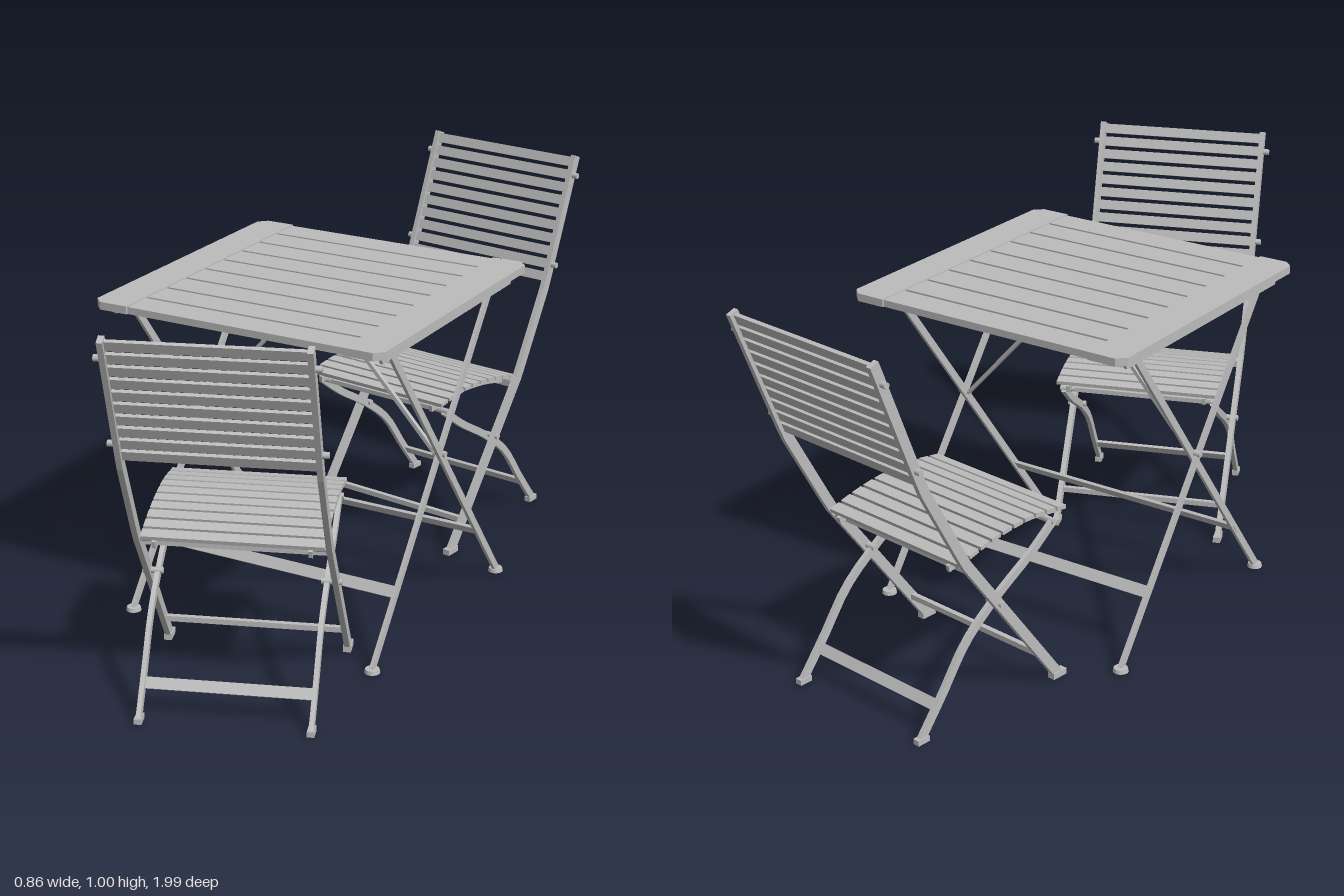
import * as THREE from 'three';

const paint = new THREE.MeshStandardMaterial({ color: 0xbcbcbc });
paint.name = 'grey paint';

function add(parent, geometry, name, x = 0, y = 0, z = 0, rotX = 0) {
  const mesh = new THREE.Mesh(geometry, paint);
  mesh.name = name;
  mesh.position.set(x, y, z);
  mesh.rotation.x = rotX;
  parent.add(mesh);
  return mesh;
}

const box = (parent, name, w, h, d, x, y, z, rotX = 0) =>
  add(parent, new THREE.BoxGeometry(w, h, d), name, x, y, z, rotX);

// Bolt lying along x
function bolt(parent, x, y, z, length = 0.03, radius = 0.008) {
  const g = new THREE.CylinderGeometry(radius, radius, length, 10);
  g.rotateZ(Math.PI / 2);
  add(parent, g, 'bolt', x, y, z);
}

// Flat bar following [z, y] points, with its thickness along x
function flatBar(parent, name, points, width, thick, x) {
  const p = points.map(([z, y]) => new THREE.Vector2(z, y));
  const left = [], right = [];
  p.forEach((q, i) => {
    const dir = p[Math.min(i + 1, p.length - 1)].clone().sub(p[Math.max(i - 1, 0)]).normalize();
    const n = new THREE.Vector2(-dir.y, dir.x).multiplyScalar(width / 2);
    left.push(q.clone().add(n));
    right.unshift(q.clone().sub(n));
  });
  const g = new THREE.ExtrudeGeometry(new THREE.Shape([...left, ...right]), { depth: thick, bevelEnabled: false });
  g.translate(0, 0, -thick / 2);
  g.rotateY(-Math.PI / 2);
  return add(parent, g, name, x);
}

const smooth = (points, n) =>
  new THREE.SplineCurve(points.map(([a, b]) => new THREE.Vector2(a, b))).getSpacedPoints(n).map(v => [v.x, v.y]);

// Chair: origin below the top of the backrest, facing +z
function chair(name, x, z, turn) {
  const g = new THREE.Group();
  g.name = name;
  g.position.set(x, 0, z);
  g.rotation.y = turn;
  const frontLeg = [[0, 0.995], [0.125, 0.68], [0.14, 0.645], [0.245, 0.455], [0.265, 0.42], [0.575, 0.006]];
  const rearLeg = smooth([[0.13, 0.006], [0.205, 0.1], [0.285, 0.205], [0.39, 0.285], [0.5, 0.35], [0.585, 0.412]], 14);
  const seatLine = [[0.25, 0.416], [0.37, 0.444], [0.5, 0.454], [0.62, 0.44]];

  for (const side of [-1, 1]) {
    flatBar(g, 'backrest rail and front leg', frontLeg, 0.026, 0.014, side * 0.228);
    flatBar(g, 'rear leg', rearLeg, 0.02, 0.012, side * 0.205);
    flatBar(g, 'seat rail', smooth(seatLine.map(([s, y]) => [s, y - 0.014]), 12), 0.018, 0.01, side * 0.185);
    // Foot caps
    box(g, 'front foot', 0.02, 0.016, 0.044, side * 0.228, 0.008, 0.574);
    box(g, 'rear foot', 0.018, 0.014, 0.036, side * 0.205, 0.007, 0.134);
    // Bolts on the backrest, the pivot and the seat
    bolt(g, side * 0.235, 0.945, 0.02);
    bolt(g, side * 0.235, 0.71, 0.113);
    bolt(g, side * 0.217, 0.28, 0.372, 0.05);
    bolt(g, side * 0.195, 0.412, 0.58, 0.04);
    bolt(g, side * 0.21, 0.41, 0.272, 0.05);
  }

  // Backrest slats
  const lean = Math.atan2(-0.125, 0.315);
  for (let i = 0; i < 10; i++) {
    const y = 0.979 - i * 0.0335;
    box(g, 'backrest slat', 0.444, 0.026, 0.01, 0, y, (0.995 - y) * 0.397 + 0.002, lean);
  }

  // Curved seat of cross slats
  const curve = new THREE.SplineCurve(seatLine.map(([s, y]) => new THREE.Vector2(s, y)));
  for (let i = 0; i < 10; i++) {
    const t = (i + 0.5) / 10;
    const p = curve.getPointAt(t), d = curve.getTangentAt(t);
    box(g, 'seat slat', 0.436, 0.01, 0.03, 0, p.y, p.x, -Math.atan2(d.y, d.x));
  }

  // Cross bars
  box(g, 'seat cross bar', 0.44, 0.016, 0.012, 0, 0.402, 0.275);
  box(g, 'front seat cross bar', 0.4, 0.012, 0.012, 0, 0.412, 0.58);
  box(g, 'front stretcher', 0.45, 0.014, 0.014, 0, 0.08, 0.52);
  box(g, 'rear stretcher', 0.41, 0.028, 0.008, 0, 0.075, 0.186, Math.atan2(0.15, 0.2));
  return g;
}

function table() {
  const g = new THREE.Group();
  g.name = 'folding table';
  g.position.set(-0.03, 0, 0.025);

  // End boards with cut outer corners
  for (const side of [-1, 1]) {
    const c = 0.022;
    const pts = [[0.301, -0.4], [0.4 - c, -0.4], [0.4, -0.4 + c], [0.4, 0.4 - c], [0.4 - c, 0.4], [0.301, 0.4]];
    const shape = new THREE.Shape(pts.map(([x, z]) => new THREE.Vector2(side * x, z)));
    const board = new THREE.ExtrudeGeometry(shape, { depth: 0.02, bevelEnabled: false });
    board.rotateX(-Math.PI / 2);
    add(g, board, 'table end board', 0, 0.833);
  }
  // Long slats and the batten beneath them
  const pitch = 0.8 / 9;
  for (let i = 0; i < 9; i++) {
    box(g, 'table slat', 0.6, 0.018, pitch - 0.009, 0, 0.842, -0.4 + (i + 0.5) * pitch);
  }
  box(g, 'centre batten', 0.035, 0.01, 0.74, 0, 0.828, 0);

  const legA = [[0.285, 0.818], [-0.335, 0.008]];
  const legB = [[-0.28, 0.818], [0.34, 0.008]];
  for (const side of [-1, 1]) {
    // Bracket under the end board
    const bracket = new THREE.Shape([[-0.36, 0.834], [-0.345, 0.808], [0.345, 0.808], [0.36, 0.834]]
      .map(([z, y]) => new THREE.Vector2(z, y)));
    const bg = new THREE.ExtrudeGeometry(bracket, { depth: 0.008, bevelEnabled: false });
    bg.translate(0, 0, -0.004);
    bg.rotateY(-Math.PI / 2);
    add(g, bg, 'table bracket', side * 0.372);
    box(g, 'bracket flange', 0.03, 0.006, 0.69, side * 0.36, 0.83, 0);

    // Crossed legs with feet
    flatBar(g, 'table leg', legA, 0.02, 0.009, side * 0.362);
    flatBar(g, 'table leg', legB, 0.02, 0.009, side * 0.351);
    for (const [leg, x] of [[legA, 0.362], [legB, 0.351]]) {
      const foot = new THREE.CylinderGeometry(0.018, 0.02, 0.01, 12);
      add(g, foot, 'table foot', side * x, 0.005, leg[1][0]);
      bolt(g, side * 0.361, 0.815, leg[0][0]);
    }
    bolt(g, side * 0.357, 0.46, 0.003, 0.034);

    // Diagonal brace from the leg pivot to the batten
    const from = new THREE.Vector3(side * 0.343, 0.46, 0.003), to = new THREE.Vector3(side * 0.01, 0.825, 0.003);
    const brace = box(g, 'diagonal brace', 0.01, from.distanceTo(to), 0.012, 0, 0, 0);
    brace.position.copy(from).add(to).multiplyScalar(0.5);
    brace.rotation.z = Math.atan2(from.x - to.x, to.y - from.y);
  }

  // Flat stretchers in line with each pair of legs
  for (const [[z1, y1], [z0, y0]] of [legA, legB]) {
    const t = (0.165 - y0) / (y1 - y0);
    box(g, 'table stretcher', 0.715, 0.03, 0.008, 0, 0.165, z0 + (z1 - z0) * t, Math.atan2(z1 - z0, y1 - y0));
  }
  return g;
}

export function createModel() {
  const model = new THREE.Group();
  model.name = 'garden table with two chairs';
  model.add(table());
  model.add(chair('back chair', 0.03, -0.953, -0.14));
  model.add(chair('front chair', 0.2, 0.9, Math.PI + 0.365));
  return model;
}
